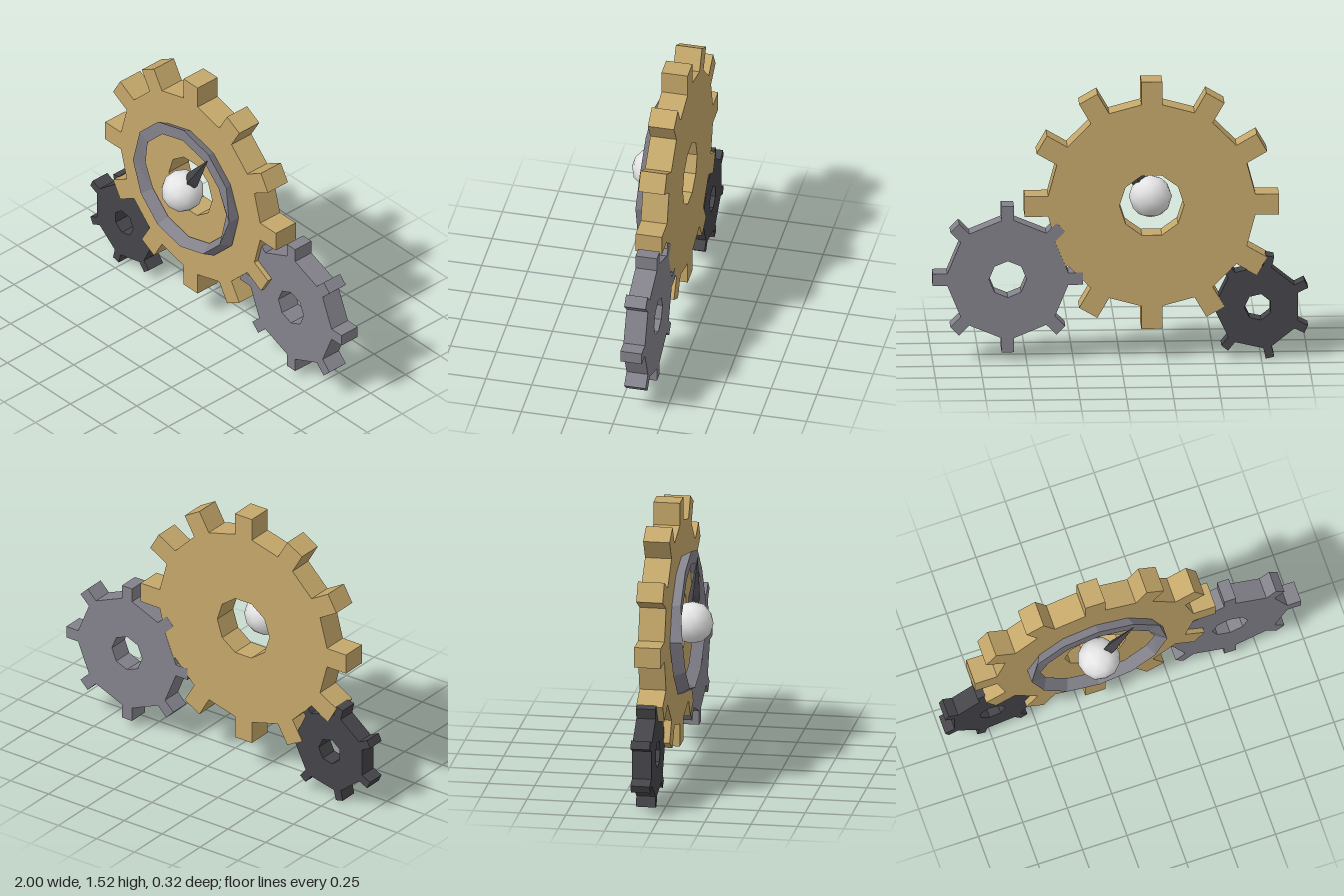
import * as THREE from 'three';

const mat = (name, color) => Object.assign(new THREE.MeshStandardMaterial({ color }), { name });

// Polygonal gear with square teeth on its corners and a polygonal hole
function gear(name, material, { n, outer, body, width, hole, holeSides, x, y, back, front }) {
  const shape = new THREE.Shape();
  const base = body - (width / 2) * Math.tan(Math.PI / n);
  for (let i = 0; i < n; i++) {
    const a = (i / n) * Math.PI * 2, c = Math.cos(a), s = Math.sin(a);
    [[base, -1], [outer, -1], [outer, 1], [base, 1]].forEach(([r, side], k) => {
      const t = side * width / 2;
      const px = r * c - t * s, py = r * s + t * c;
      if (i + k === 0) shape.moveTo(px, py); else shape.lineTo(px, py);
    });
  }
  shape.closePath();
  const rim = [];
  for (let i = 0; i < holeSides; i++) {
    const a = -(i / holeSides) * Math.PI * 2;
    rim.push(new THREE.Vector2(hole * Math.cos(a), hole * Math.sin(a)));
  }
  shape.holes.push(new THREE.Path(rim));
  const mesh = new THREE.Mesh(
    new THREE.ExtrudeGeometry(shape, { depth: front - back, bevelEnabled: false }), material);
  mesh.name = name;
  mesh.position.set(x, y, back);
  return mesh;
}

// Twelve-sided ring of triangular section that twists at its two sides
function twistedRing(radius, section) {
  const n = 12, pos = [], idx = [];
  for (let i = 0; i < n; i++) {
    const a = (i / n) * Math.PI * 2, s = Math.sin(a);
    const phase = Math.abs(s) < 0.01 ? 60 : s > 0 ? 30 : 90;
    for (let k = 0; k < 3; k++) {
      const p = THREE.MathUtils.degToRad(phase + k * 120);
      const r = radius + section * Math.cos(p);
      pos.push(r * Math.cos(a), r * s, section * Math.sin(p));
      const j = (i + 1) % n, m = (k + 1) % 3;
      const A = i * 3 + k, B = j * 3 + k, C = j * 3 + m, D = i * 3 + m;
      idx.push(A, B, C, A, C, D);
    }
  }
  const g = new THREE.BufferGeometry();
  g.setAttribute('position', new THREE.Float32BufferAttribute(pos, 3));
  g.setIndex(idx);
  const flat = g.toNonIndexed();
  flat.computeVertexNormals();
  return flat;
}

export function createModel() {
  const group = new THREE.Group();
  group.name = 'gearAssembly';
  const brass = mat('brass', 0xc4a76a);
  const steel = mat('steel', 0x83818a);
  const iron = mat('darkIron', 0x454449);
  const white = mat('white', 0xe6e6e6);
  const cx = -0.167, cy = 0.853;

  // Three meshing gears
  group.add(
    gear('largeGear', brass, { n: 12, outer: 0.677, body: 0.567, width: 0.112, hole: 0.172,
      holeSides: 10, x: cx, y: cy, back: -0.156, front: -0.013 }),
    gear('mediumGear', steel, { n: 8, outer: 0.4, body: 0.336, width: 0.066, hole: 0.1,
      holeSides: 8, x: 0.6, y: 0.455, back: -0.157, front: -0.04 }),
    gear('smallGear', iron, { n: 7, outer: 0.285, body: 0.237, width: 0.046, hole: 0.073,
      holeSides: 7, x: -0.733, y: 0.288, back: -0.151, front: -0.047 }));

  // Dial ring on the large gear
  const ring = new THREE.Mesh(twistedRing(0.361, 0.041), steel);
  ring.name = 'dialRing';
  ring.position.set(cx, cy, 0.02);
  group.add(ring);

  // Centre knob
  const knob = new THREE.Mesh(new THREE.IcosahedronGeometry(0.115, 1), white);
  knob.name = 'centreKnob';
  knob.position.set(cx, cy, 0.045);
  group.add(knob);

  // Pointer: four-sided dart from the knob towards the ring
  const profile = [[0, 0], [0.032, 0], [0.045, 0.06], [0, 0.285]].map(p => new THREE.Vector2(...p));
  const dart = new THREE.LatheGeometry(profile, 4).toNonIndexed();
  dart.scale(1, 1, 0.7);
  dart.computeVertexNormals();
  const pointer = new THREE.Mesh(dart, iron);
  pointer.name = 'pointer';
  pointer.position.set(-0.122, 0.915, 0.042);
  pointer.rotation.z = -Math.atan2(0.152, 0.24);
  group.add(pointer);

  return group;
}
